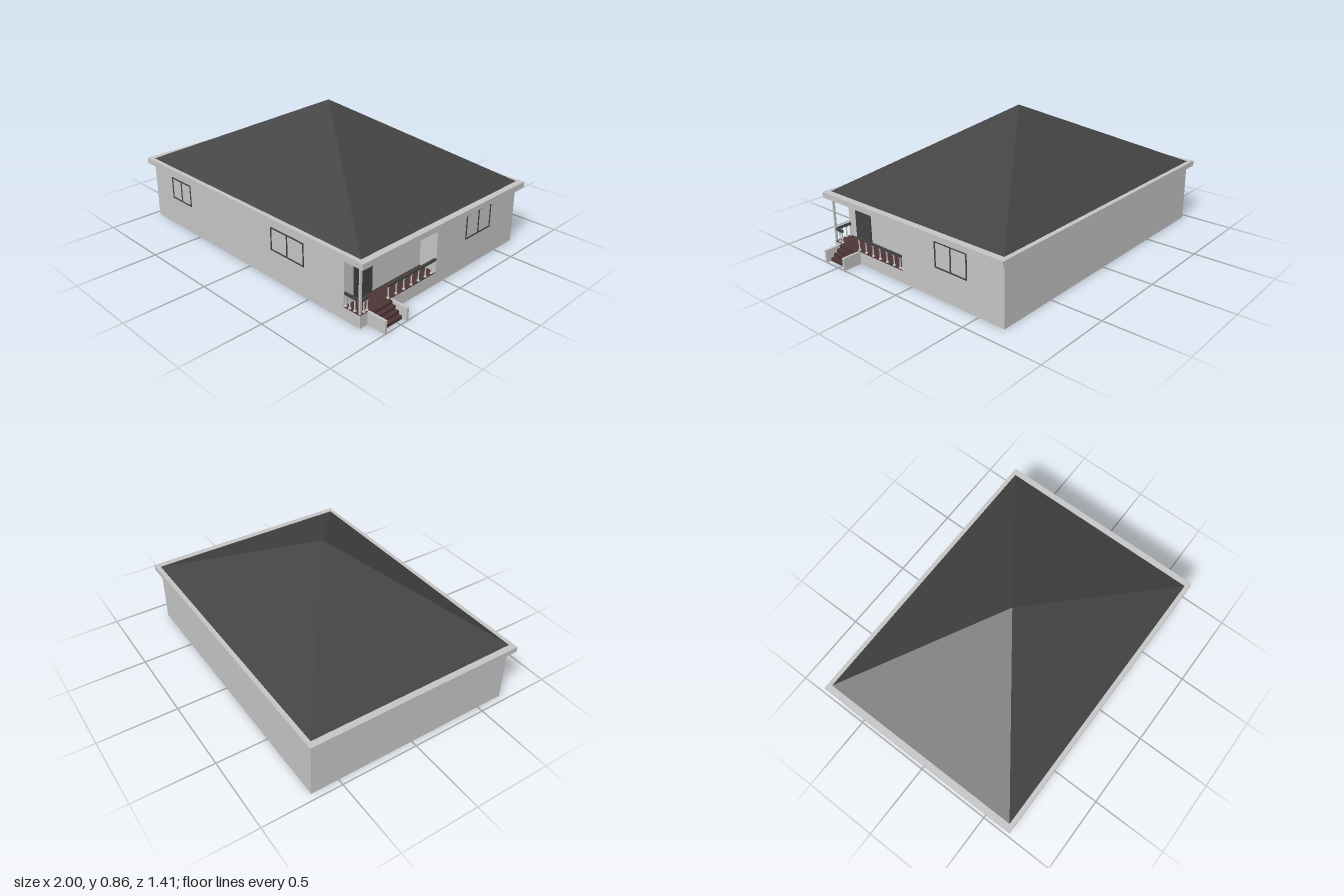
import * as THREE from 'three';

const mat = (name, color) => {
  const m = new THREE.MeshStandardMaterial({ color });
  m.name = name;
  return m;
};

export function createModel() {
  const house = new THREE.Group();
  house.name = 'house';
  const wall = mat('wall grey', 0xc4c4c4);
  const dark = mat('charcoal', 0x424242);
  const brown = mat('step brown', 0x4c3535);

  const add = (name, geo, material, parent = house) => {
    const mesh = new THREE.Mesh(geo, material);
    mesh.name = name;
    parent.add(mesh);
    return mesh;
  };
  // Box given by its extents on each axis
  const box = (name, material, [x0, x1], [y0, y1], [z0, z1], parent) => {
    const g = new THREE.BoxGeometry(x1 - x0, y1 - y0, z1 - z0);
    g.translate((x0 + x1) / 2, (y0 + y1) / 2, (z0 + z1) / 2);
    return add(name, g, material, parent);
  };

  const L = -0.96, R = 0.88, D = 0.675;     // outer walls
  const PX = 0.765, PZ = 0.07;              // inner corner of the porch
  const floorY = 0.08, wallTop = 0.365, eaveTop = 0.4;

  // Walls: L-shaped footprint leaving the corner porch free
  const plan = new THREE.Shape([
    [L, D], [L, -D], [PX, -D], [PX, -PZ], [R, -PZ], [R, D],
  ].map(([x, y]) => new THREE.Vector2(x, y)));
  const walls = new THREE.ExtrudeGeometry(plan, { depth: wallTop, bevelEnabled: false });
  walls.rotateX(-Math.PI / 2);
  add('walls', walls, wall);

  // Porch
  box('porchBase', wall, [PX, R], [0, floorY - 0.004], [PZ, D]);
  box('porchFloor', brown, [PX, R], [floorY - 0.004, floorY], [PZ, D]);
  box('porchLintel', wall, [PX, R], [0.345, wallTop], [PZ, D]);
  box('porchPost', wall, [R - 0.012, R], [floorY, 0.345], [D - 0.012, D]);

  // Eave slab and hipped roof
  box('eaveSlab', wall, [-1, 0.92], [wallTop, eaveTop], [-0.703, 0.703]);
  const roof = new THREE.ConeGeometry(Math.SQRT1_2, 1, 4, 1).toNonIndexed();
  roof.rotateY(Math.PI / 4);
  roof.scale(R - L, 0.855 - eaveTop, 2 * D);
  roof.translate((L + R) / 2, (0.855 + eaveTop) / 2, 0);
  roof.computeVertexNormals();
  add('roof', roof, dark);

  // Window frame centred on the origin, facing +z
  const windowFrame = (name, w, y0, y1) => {
    const g = new THREE.Group();
    g.name = name;
    const t = 0.008, z = [-0.003, 0.003], h = w / 2;
    for (const y of [y0, y1 - t]) box('frameRail', dark, [-h, h], [y, y + t], z, g);
    for (const x of [-h, -t / 2, h - t]) box('frameStile', dark, [x, x + t], [y0 + t, y1 - t], z, g);
    house.add(g);
    return g;
  };
  windowFrame('frontWindowSmall', 0.2, 0.185, 0.328).position.set(-0.668, 0, D);
  windowFrame('frontWindowWide', 0.27, 0.185, 0.328).position.set(0.332, 0, D);
  const side = windowFrame('sideWindow', 0.235, 0.185, 0.34);
  side.position.set(R, 0, -0.307);
  side.rotation.y = Math.PI / 2;

  // Door with handle
  box('door', dark, [PX, PX + 0.006], [floorY, 0.33], [0.468, 0.605]);
  box('doorHandle', dark, [PX + 0.006, PX + 0.014], [0.183, 0.191], [0.578, 0.592]);

  // Handrails
  const railY = [0.15, 0.163];
  const x = [R - 0.014, R - 0.001], z = [D - 0.014, D - 0.001];
  box('sideHandrail', dark, x, railY, [PZ, 0.466]);
  box('sideHandrailShort', dark, x, railY, [0.605, D - 0.012]);
  box('frontHandrail', dark, [PX, R - 0.012], railY, z);

  // Balusters with flared ends
  const profile = [[0.009, 0], [0.009, 0.004], [0.004, 0.011], [0.004, 0.059], [0.009, 0.066], [0.009, 0.071]];
  const balusterGeo = new THREE.LatheGeometry(profile.map(([r, y]) => new THREE.Vector2(r, y)), 10);
  const baluster = (bx, bz) => add('baluster', balusterGeo, wall).position.set(bx, floorY, bz);
  for (const bz of [0.08, 0.1, 0.151, 0.21, 0.27, 0.331, 0.393, 0.455, 0.615, 0.638]) baluster(R - 0.009, bz);
  for (const bx of [PX + 0.005, 0.8, 0.835]) baluster(bx, D - 0.009);

  // Steps between two low side walls
  for (let i = 0; i < 4; i++) {
    const run = 0.0225;
    box('step', brown, [R + i * run, R + (i + 1) * run], [0, floorY - i * 0.02], [0.455, 0.605]);
  }
  for (const z0 of [0.44, 0.605]) box('stepSideWall', wall, [R, 1], [0, floorY - 0.002], [z0, z0 + 0.015]);

  return house;
}
